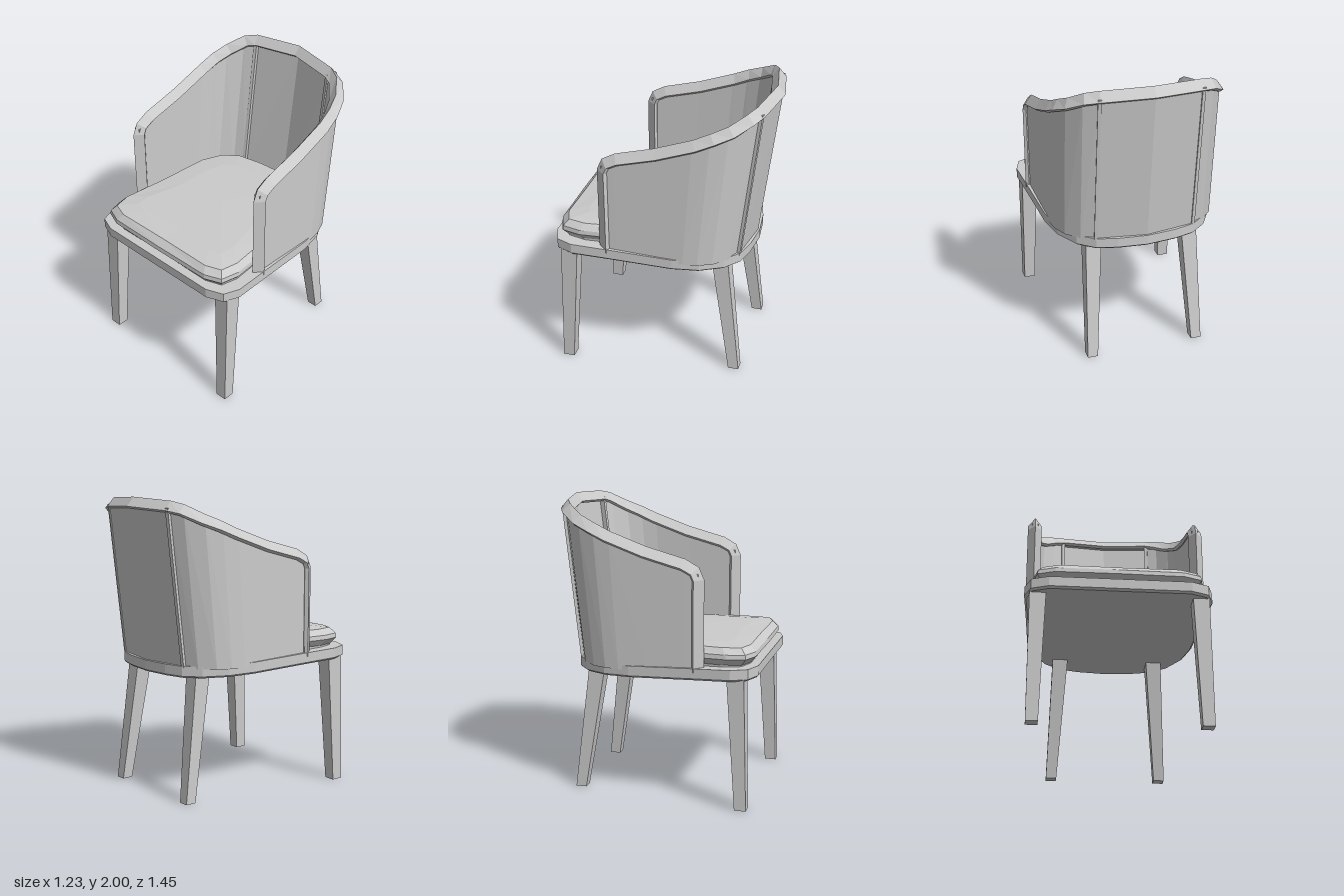
import * as THREE from 'three';

const V = (x, y, z) => new THREE.Vector3(x, y, z);
const material = new THREE.MeshStandardMaterial({ color: 0xcccccc, flatShading: true });

// Skins a row of equal-sized point rings and closes both ends with fans.
function loft(name, rings, bulge = 0) {
  const tris = [];
  const n = rings[0].length;
  for (let r = 0; r < rings.length - 1; r++) {
    const a = rings[r], b = rings[r + 1];
    for (let i = 0; i < n; i++) {
      const j = (i + 1) % n;
      tris.push([a[i], a[j], b[j]], [a[i], b[j], b[i]]);
    }
  }
  const cap = (ring, lift, flip) => {
    const c = ring.reduce((s, p) => s.add(p), V(0, 0, 0)).divideScalar(n);
    c.y += lift;
    ring.forEach((p, i) => {
      const q = ring[(i + 1) % n];
      tris.push(flip ? [c, q, p] : [c, p, q]);
    });
  };
  cap(rings[0], 0, true);
  cap(rings[rings.length - 1], bulge, false);
  // Turn the faces outward when the enclosed volume comes out negative
  const volume = tris.reduce((s, [a, b, c]) => s + a.dot(V(0, 0, 0).crossVectors(b, c)), 0);
  const points = tris.flatMap(([a, b, c]) => (volume < 0 ? [a, c, b] : [a, b, c]));
  const geometry = new THREE.BufferGeometry().setFromPoints(points);
  geometry.computeVertexNormals();
  const mesh = new THREE.Mesh(geometry, material);
  mesh.name = name;
  return mesh;
}

// Completes a right-left symmetric outline given from back centre to front centre.
const mirrorPlan = (half) => [
  ...half,
  ...half.slice(1, -1).reverse().map(([x, z]) => [-x, z]),
];

// One horizontal ring of an outline, shrunk by a fixed margin, at height y(z).
const planRing = (plan, inset, y) => plan.map(([x, z]) => {
  const cz = 0.1, len = Math.hypot(x, z - cz);
  const k = 1 - inset / len;
  const pz = cz + (z - cz) * k;
  return V(x * k, y(pz), pz);
});

export function createModel() {
  const chair = new THREE.Group();
  chair.name = 'chair';

  // Seat base, tilting down slightly towards the back
  const basePlan = mirrorPlan([[0, -0.59], [0.2, -0.57], [0.34, -0.535], [0.45, -0.45], [0.54, -0.3],
    [0.58, -0.12], [0.6, 0.3], [0.615, 0.57], [0.575, 0.68], [0.46, 0.725], [0, 0.725]]);
  const slope = (y) => (z) => y + z * 0.036;
  chair.add(loft('seatBase', [
    planRing(basePlan, 0.015, slope(0.855)),
    planRing(basePlan, 0, slope(0.868)),
    planRing(basePlan, 0, slope(0.934)),
  ]));

  // Cushion with bevelled edges and a gently domed top
  const cushionPlan = mirrorPlan([[0, -0.5], [0.14, -0.49], [0.33, -0.45], [0.44, -0.36], [0.51, -0.2],
    [0.54, 0.2], [0.565, 0.53], [0.535, 0.655], [0.42, 0.7], [0, 0.705]]);
  chair.add(loft('cushion', [
    planRing(cushionPlan, 0.05, () => 0.92),
    planRing(cushionPlan, 0.045, () => 0.965),
    planRing(cushionPlan, 0, () => 1.01),
    planRing(cushionPlan, 0.005, () => 1.04),
    planRing(cushionPlan, 0.05, () => 1.08),
    planRing(cushionPlan, 0.2, () => 1.093),
  ], 0.004));

  // Ridge of the rail: up the left arm front, along the arm and around the back
  const half = [[0.555, 0.92, 0.385], [0.555, 1.52, 0.385], [0.555, 1.6, 0.35], [0.555, 1.65, 0.26],
    [0.552, 1.72, 0], [0.547, 1.81, -0.25], [0.532, 1.86, -0.36], [0.495, 1.905, -0.465],
    [0.415, 1.965, -0.565], [0.33, 1.985, -0.61], [0, 2.0, -0.67]].map((p) => V(...p));
  const flipX = (p) => V(-p.x, p.y, p.z);
  const path = [...half, ...half.slice(0, -1).reverse().map(flipX)];
  const last = path.length - 1;
  const tangent = path.map((p, i) =>
    path[Math.min(i + 1, last)].clone().sub(path[Math.max(i - 1, 0)]).normalize());
  const outward = path.map((p, i) => (p.z > 0.2
    ? V(Math.sign(p.x), 0, 0)
    : V(-tangent[i].z, 0, tangent[i].x).normalize()));

  // Rail with a three-sided section
  chair.add(loft('rail', path.map((p, i) => {
    const up = V(0, 0, 0).crossVectors(outward[i], tangent[i]).normalize();
    const at = (o, u) => p.clone().addScaledVector(outward[i], o).addScaledVector(up, u);
    return [at(0, 0), at(0.05, -0.06), at(0.03, -0.075), at(-0.03, -0.075), at(-0.045, -0.06)];
  })));

  // Shell column below a ridge point, leaning back towards the rear
  const column = (i, outer, inner, along = 0) => {
    const n = outward[i];
    const p = path[i].clone().addScaledVector(V(n.z, 0, -n.x), along);
    const lean = 0.13 * Math.max(0, (0.1 - p.z) / 0.77);
    const at = (o, y, dz) => V(p.x + n.x * o, y, p.z + n.z * o + dz);
    const bottom = 0.9, top = p.y - 0.045;
    return [at(outer, bottom, lean), at(outer, top, 0), at(inner, top, 0), at(inner, bottom, lean)];
  };

  // Side panels, the set-back rear panel and the posts between them
  const side = [2, 3, 4, 5, 6, 7, 8, 9].map((i) => column(i, 0.022, -0.022));
  chair.add(loft('leftSidePanel', side));
  chair.add(loft('rightSidePanel', side.map((ring) => ring.map(flipX))));
  chair.add(loft('backPanel', [9, 10, 11].map((i) => column(i, 0.036, 0))));
  const post = [-0.012, 0.012].map((s) => column(9, 0.042, -0.035, s));
  chair.add(loft('leftBackPost', post));
  chair.add(loft('rightBackPost', post.map((ring) => ring.map(flipX))));

  // Tapered, splayed legs given as [x0, x1, z0, z1] at foot and top
  const legRing = ([x0, x1, z0, z1], y) => [V(x0, y, z0), V(x1, y, z0), V(x1, y, z1), V(x0, y, z1)];
  const legs = {
    FrontLeg: [[0.505, 0.583, 0.602, 0.68], [0.475, 0.583, 0.54, 0.655], 0.9],
    BackLeg: [[0.343, 0.415, -0.558, -0.485], [0.282, 0.39, -0.457, -0.345], 0.87],
  };
  for (const [name, [foot, top, height]] of Object.entries(legs)) {
    const rings = [legRing(foot, 0), legRing(top, height)];
    chair.add(loft('left' + name, rings));
    chair.add(loft('right' + name, rings.map((ring) => ring.map(flipX))));
  }
  return chair;
}
